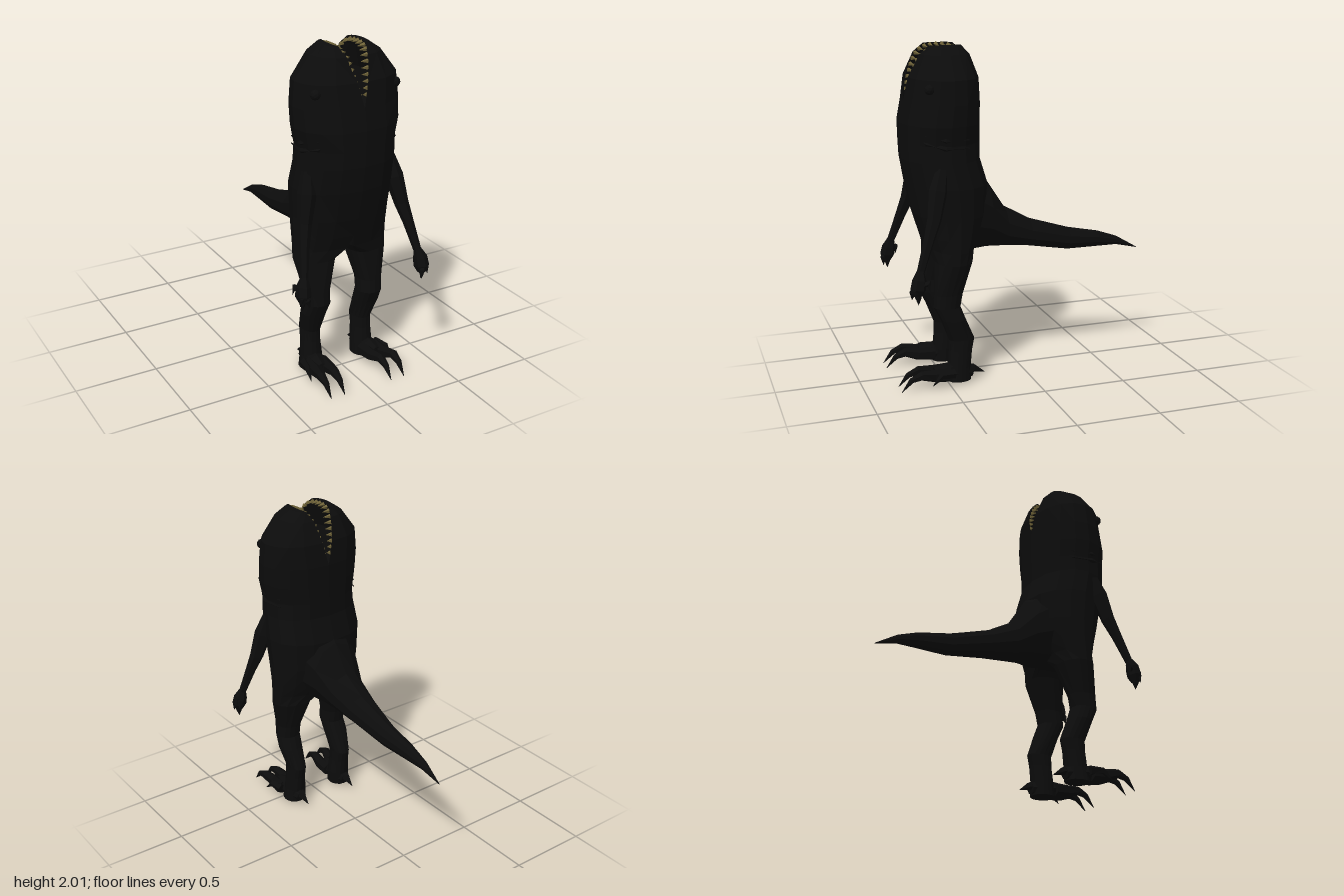
import * as THREE from 'three';

const mat = (name, color) => {
  const m = new THREE.MeshStandardMaterial({ color, flatShading: true });
  m.name = name;
  return m;
};
const V = (x, y, z) => new THREE.Vector3(x, y, z);

// Closed skin through a list of equal-sized rings, capped at both ends, facing outwards
function loft(rings) {
  const n = rings[0].length, tris = [];
  const mid = (r) => r.reduce((a, p) => a.add(p), V(0, 0, 0)).divideScalar(n);
  const first = mid(rings[0]), last = mid(rings[rings.length - 1]);
  for (let j = 0; j < n; j++) {
    const k = (j + 1) % n;
    for (let i = 0; i < rings.length - 1; i++) {
      const a = rings[i][j], b = rings[i][k], c = rings[i + 1][k], d = rings[i + 1][j];
      tris.push([a, b, c], [a, c, d]);
    }
    tris.push([first, rings[0][k], rings[0][j]]);
    tris.push([last, rings[rings.length - 1][j], rings[rings.length - 1][k]]);
  }
  let volume = 0;
  for (const [a, b, c] of tris) volume += a.dot(b.clone().cross(c));
  const pts = tris.flatMap(([a, b, c]) => (volume < 0 ? [a, c, b] : [a, b, c]));
  const g = new THREE.BufferGeometry().setFromPoints(pts);
  g.computeVertexNormals();
  return g;
}

// Tapered limb through points [x, y, z, radius]
function limb(path, sides = 6) {
  const p = path.map((q) => V(q[0], q[1], q[2]));
  return loft(path.map((q, i) => {
    const t = p[Math.min(i + 1, p.length - 1)].clone().sub(p[Math.max(i - 1, 0)]).normalize();
    const u = t.clone().cross(V(1, 0, 0)).normalize(), w = t.clone().cross(u);
    return Array.from({ length: sides }, (_, j) => {
      const a = (j / sides) * Math.PI * 2;
      return p[i].clone().addScaledVector(u, q[3] * Math.cos(a)).addScaledVector(w, q[3] * Math.sin(a));
    });
  }));
}

// Mirror a geometry across x = 0, keeping its faces outwards
function mirrored(geo) {
  const g = geo.index ? geo.toNonIndexed() : geo.clone();
  g.scale(-1, 1, 1);
  const idx = [];
  for (let i = 0; i < g.attributes.position.count; i += 3) idx.push(i, i + 2, i + 1);
  g.setIndex(idx);
  const out = g.toNonIndexed();
  out.computeVertexNormals();
  return out;
}

// Half of head, torso and leg: y, inner x, outer x, back z, front z, roundness, mouth hollow
const HALF = [
  [2.0, 0.085, 0.135, 0.37, 0.55, 0, 0.01],
  [1.95, 0.063, 0.21, 0.32, 0.61, 0, 0.05],
  [1.82, 0.033, 0.31, 0.272, 0.67, 0, 0.12],
  [1.68, 0, 0.323, 0.26, 0.695, 0, 0.12],
  [1.56, 0, 0.318, 0.26, 0.72, 0, 0],
  [1.45, 0, 0.295, 0.26, 0.72, 0, 0],
  [1.35, 0, 0.3, 0.26, 0.715, 0, 0],
  [1.2, 0, 0.31, 0.215, 0.69, 0, 0],
  [1.02, 0, 0.3, 0.23, 0.65, 0, 0],
  [0.9, 0, 0.298, 0.27, 0.61, 0, 0],
  [0.82, 0, 0.3, 0.31, 0.58, 0.15, 0],
  [0.75, 0.05, 0.298, 0.34, 0.56, 0.7, 0],
  [0.56, 0.1, 0.252, 0.405, 0.575, 1, 0],
  [0.48, 0.1, 0.25, 0.42, 0.58, 1, 0],
  [0.4, 0.105, 0.255, 0.39, 0.54, 1, 0],
  [0.27, 0.12, 0.23, 0.335, 0.49, 1, 0],
  [0.2, 0.12, 0.232, 0.35, 0.49, 1, 0],
  [0.1, 0.11, 0.24, 0.36, 0.5, 1, 0],
  [0.02, 0.11, 0.25, 0.36, 0.51, 1, 0],
];

function halfRing([y, xin, xout, zb, zf, round, hollow]) {
  const n = 16, c = xin + round * (xout - xin) / 2;
  return Array.from({ length: n }, (_, j) => {
    const a = (j / n) * Math.PI * 2 - Math.PI / 2;
    const cos = Math.cos(a), wide = Math.pow(Math.abs(cos), 0.85);
    const x = cos > 1e-6 ? c + (xout - c) * wide : c + (hollow - (c - xin)) * wide;
    return V(x, y, (zb + zf) / 2 + ((zf - zb) / 2) * Math.sin(a));
  });
}

export function createModel() {
  const model = new THREE.Group();
  const skin = mat('blackSkin', 0x0c0c0c);
  const ivory = mat('darkIvory', 0x6e6238);
  const add = (name, geo, material = skin) => {
    const m = new THREE.Mesh(geo, material);
    m.name = name;
    model.add(m);
  };
  const pair = (name, geo, material) => {
    add('left' + name, geo, material);
    add('right' + name, mirrored(geo), material);
  };

  // Head, torso and legs
  pair('BodyAndLeg', loft(HALF.map(halfRing)));

  // Tail: z, bottom y, top y, half width
  const tail = [
    [0.45, 0.77, 1.3, 0.22], [0.3, 0.765, 1.29, 0.2], [0.2, 0.775, 1.19, 0.165],
    [0.09, 0.77, 1.02, 0.125], [-0.07, 0.755, 0.93, 0.1], [-0.33, 0.71, 0.85, 0.06],
    [-0.53, 0.71, 0.81, 0.04], [-0.66, 0.71, 0.765, 0.025], [-0.8, 0.678, 0.682, 0.002],
  ];
  add('tail', loft(tail.map(([z, b, t, w]) => Array.from({ length: 10 }, (_, j) => {
    const a = (j / 10) * Math.PI * 2 + Math.PI / 2;
    return V(w * Math.cos(a), (b + t) / 2 + ((t - b) / 2) * Math.sin(a), z);
  }))));

  // Arms, hands and finger claws
  pair('Arm', limb([[0.265, 1.32, 0.54, 0.035], [0.285, 1.2, 0.57, 0.055], [0.32, 1.04, 0.605, 0.042],
    [0.345, 0.93, 0.645, 0.032], [0.378, 0.76, 0.705, 0.023]]));
  pair('Hand', limb([[0.378, 0.77, 0.705, 0.022], [0.39, 0.72, 0.715, 0.042],
    [0.395, 0.67, 0.725, 0.045], [0.395, 0.63, 0.73, 0.025]]));
  for (const [x, y, z] of [[0.4, 0.58, 0.725], [0.37, 0.605, 0.755], [0.425, 0.62, 0.745], [0.43, 0.66, 0.665]]) {
    pair('FingerClaw', limb([[0.395, 0.69, 0.72, 0.02], [x * 0.6 + 0.16, y + 0.045, z, 0.019], [x, y, z, 0.001]], 5));
  }

  // Feet, toes with hooked claws, and heel spurs
  pair('Foot', limb([[0.18, 0.06, 0.35, 0.035], [0.18, 0.07, 0.42, 0.06],
    [0.185, 0.072, 0.52, 0.058], [0.19, 0.075, 0.59, 0.035]], 8));
  for (const [root, tip] of [[0.15, 0.16], [0.23, 0.25]]) {
    pair('Toe', limb([[root, 0.07, 0.5, 0.045], [root, 0.075, 0.6, 0.038], [tip, 0.092, 0.68, 0.028],
      [tip, 0.07, 0.74, 0.018], [tip, 0.003, 0.8, 0.001]]));
  }
  pair('SmallToe', limb([[0.25, 0.08, 0.48, 0.03], [0.268, 0.085, 0.56, 0.022], [0.28, 0.03, 0.62, 0.001]], 5));
  pair('HeelSpur', limb([[0.18, 0.07, 0.4, 0.04], [0.18, 0.075, 0.34, 0.025], [0.18, 0.04, 0.27, 0.001]], 5));

  // Eye bumps and cheek folds
  const eye = new THREE.IcosahedronGeometry(0.03, 1);
  eye.translate(0.252, 1.77, 0.6);
  pair('Eye', eye);
  for (const up of [0, 0.045]) {
    pair('CheekFold', limb([[0.17, 1.52 + up, 0.67, 0.003], [0.24, 1.465 + up, 0.62, 0.014],
      [0.292, 1.44 + up, 0.52, 0.015], [0.275, 1.435 + up, 0.38, 0.003]], 5));
  }

  // Teeth along the rim of each jaw, pointing into the mouth
  const rim = new THREE.CatmullRomCurve3([
    [0.018, 1.75, 0.67], [0.035, 1.82, 0.655], [0.062, 1.94, 0.605], [0.082, 1.985, 0.54],
    [0.082, 1.985, 0.39], [0.062, 1.94, 0.335], [0.035, 1.82, 0.285], [0.018, 1.75, 0.278],
  ].map((p) => V(...p)));
  for (let i = 0; i <= 20; i++) {
    const p = rim.getPointAt(i / 20);
    const dir = V(-1, -0.15, (0.47 - p.z) * 4).normalize();
    const length = Math.min(0.045, 0.012 + p.x * 0.6);
    const tooth = new THREE.ConeGeometry(0.014, length, 4);
    tooth.translate(0, length / 2 - 0.006, 0);
    tooth.applyQuaternion(new THREE.Quaternion().setFromUnitVectors(V(0, 1, 0), dir));
    tooth.translate(p.x, p.y, p.z);
    pair('Tooth', tooth, ivory);
  }
  return model;
}
